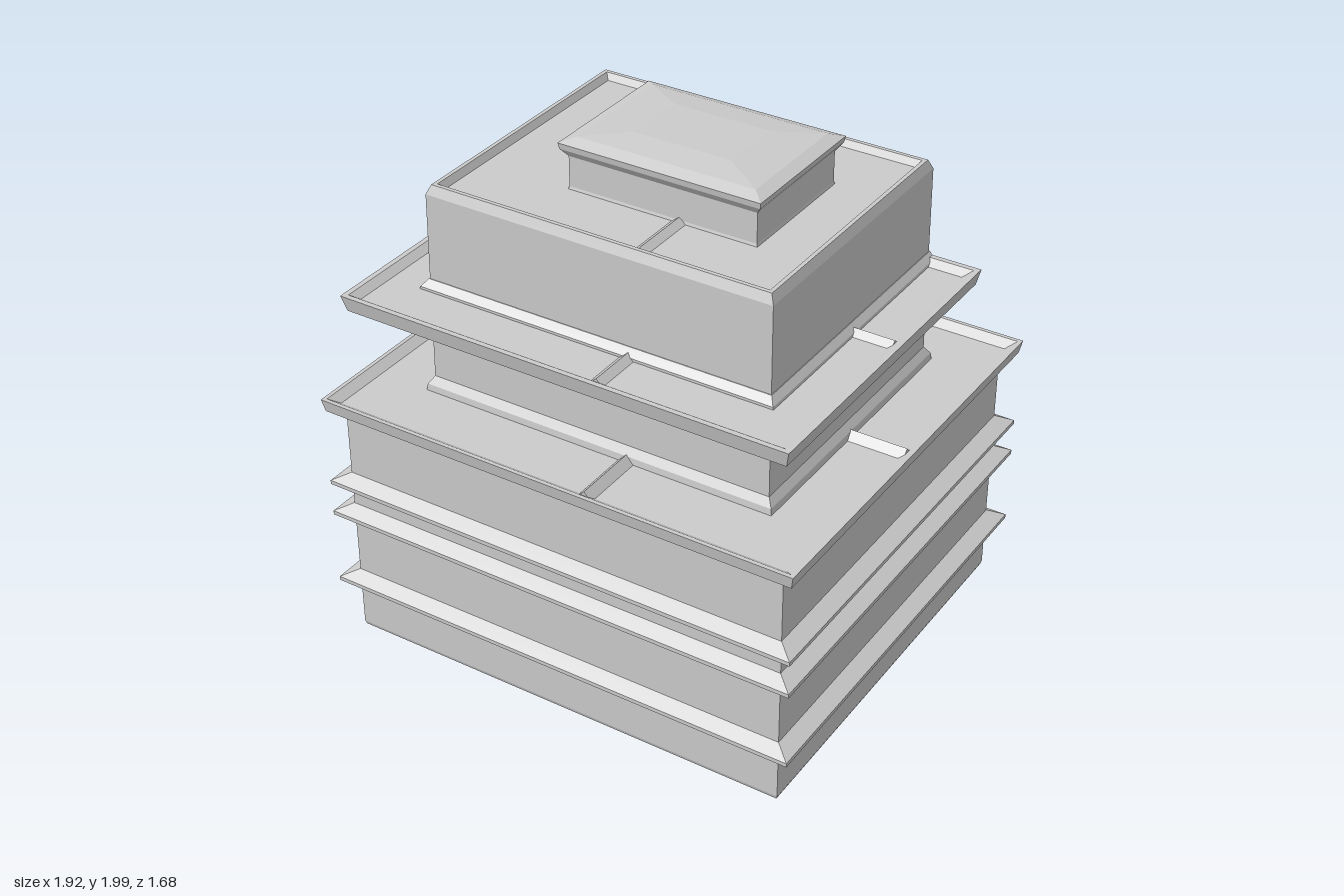
import * as THREE from 'three';

const material = new THREE.MeshStandardMaterial({ color: 0xcccccc, flatShading: true });

// Solid through stacked rectangles: each ring grows the footprint by dx, dz at height y.
function stack(name, [x0, x1, z0, z1], rings) {
  const pos = [];
  const corners = rings.map(([y, dx, dz = dx, dBack = dz]) => [
    [x0 - dx, y, z1 + dz], [x1 + dx, y, z1 + dz],
    [x1 + dx, y, z0 - dBack], [x0 - dx, y, z0 - dBack],
  ]);
  const quad = (a, b, c, d) => pos.push(...a, ...b, ...c, ...a, ...c, ...d);
  for (let i = 0; i + 1 < corners.length; i++) {
    const lo = corners[i], hi = corners[i + 1];
    for (let k = 0; k < 4; k++) {
      const n = (k + 1) % 4;
      quad(lo[k], lo[n], hi[n], hi[k]);
    }
  }
  const [a, b, c, d] = corners[0];
  quad(d, c, b, a);
  quad(...corners[corners.length - 1]);
  const geometry = new THREE.BufferGeometry();
  geometry.setAttribute('position', new THREE.Float32BufferAttribute(pos, 3));
  geometry.computeVertexNormals();
  const mesh = new THREE.Mesh(geometry, material);
  mesh.name = name;
  return mesh;
}

// Low triangular ridge lying on a roof, running along z (or x when alongX).
function ridge(name, centre, from, to, y, height, alongX = false) {
  const shape = new THREE.Shape();
  shape.moveTo(-0.04, -0.01);
  shape.lineTo(0.04, -0.01);
  shape.lineTo(0, height);
  const geometry = new THREE.ExtrudeGeometry(shape, { depth: to - from, bevelEnabled: false });
  const mesh = new THREE.Mesh(geometry, material);
  mesh.name = name;
  if (alongX) {
    mesh.rotation.y = Math.PI / 2;
    mesh.position.set(from, y, centre);
  } else {
    mesh.position.set(centre, y, from);
  }
  return mesh;
}

// Pointed string course around the lower storeys.
const course = (y) => [[y - 0.045, 0], [y - 0.01, 0.06, 0.05], [y + 0.006, 0.06, 0.05], [y + 0.035, 0]];

export function createModel() {
  const group = new THREE.Group();

  // Lower storeys with three string courses and a parapet roof
  group.add(stack('lowerStoreys', [-0.895, 0.895, -0.785, 0.785], [
    [0.005, -0.005], [0.02, 0],
    ...course(0.23), ...course(0.53), ...course(0.665),
    [0.935, 0], [0.97, 0.055, 0.045], [1.02, 0.065, 0.055],
    [1.02, 0.05, 0.04], [0.995, 0.015, 0.005],
  ]));

  // Upper storeys, flared at the foot, with a sunken roof
  const upper = [-0.685, 0.692, -0.565, 0.535];
  group.add(stack('upperStoreys', upper, [
    [0.98, 0.025], [1.02, 0.02], [1.05, 0], [1.78, -0.005],
    [1.815, -0.02], [1.815, -0.035], [1.79, -0.05],
  ]));

  // Balcony around the front and both sides, flush at the back
  group.add(stack('balcony', [-0.88, 0.89, -0.56, 0.77], [
    [1.352, -0.19, -0.23, 0], [1.375, -0.01, -0.01, 0], [1.437, 0.005],
    [1.437, -0.015], [1.415, -0.045],
  ]));
  group.add(stack('upperFoot', upper, [[1.4, 0.025, 0.025, 0], [1.425, 0.02, 0.025, 0], [1.45, 0]]));

  // Rooftop room with overhanging cap
  group.add(stack('rooftopRoom', [-0.28, 0.46, -0.26, 0.25], [[1.77, 0.01], [1.8, 0], [1.92, 0]]));
  group.add(stack('rooftopCap', [-0.28, 0.46, -0.26, 0.25], [
    [1.908, -0.005], [1.945, 0.022], [1.968, 0.026], [1.985, -0.02], [1.998, -0.18, -0.13],
  ]));

  // Drainage ridges across the roofs and balcony
  group.add(ridge('roofRidgeFront', 0.16, 0.24, 0.5, 1.79, 0.02));
  group.add(ridge('roofRidgeBack', 0.16, -0.53, -0.25, 1.79, 0.02));
  group.add(ridge('balconyRidge', 0.15, 0.53, 0.74, 1.415, 0.022));
  group.add(ridge('terraceRidgeFront', 0.14, 0.53, 0.81, 0.995, 0.03));
  group.add(ridge('terraceRidgeBack', 0.14, -0.81, -0.56, 0.995, 0.03));
  for (const [side, from] of [['Left', 0.68], ['Right', -0.93]]) {
    group.add(ridge('terraceRidge' + side, 0.01, from, from + 0.25, 0.995, 0.03, true));
    const start = side === 'Left' ? 0.68 : -0.86;
    group.add(ridge('balconyRidge' + side, 0.01, start, start + 0.18, 1.415, 0.022, true));
  }

  return group;
}
